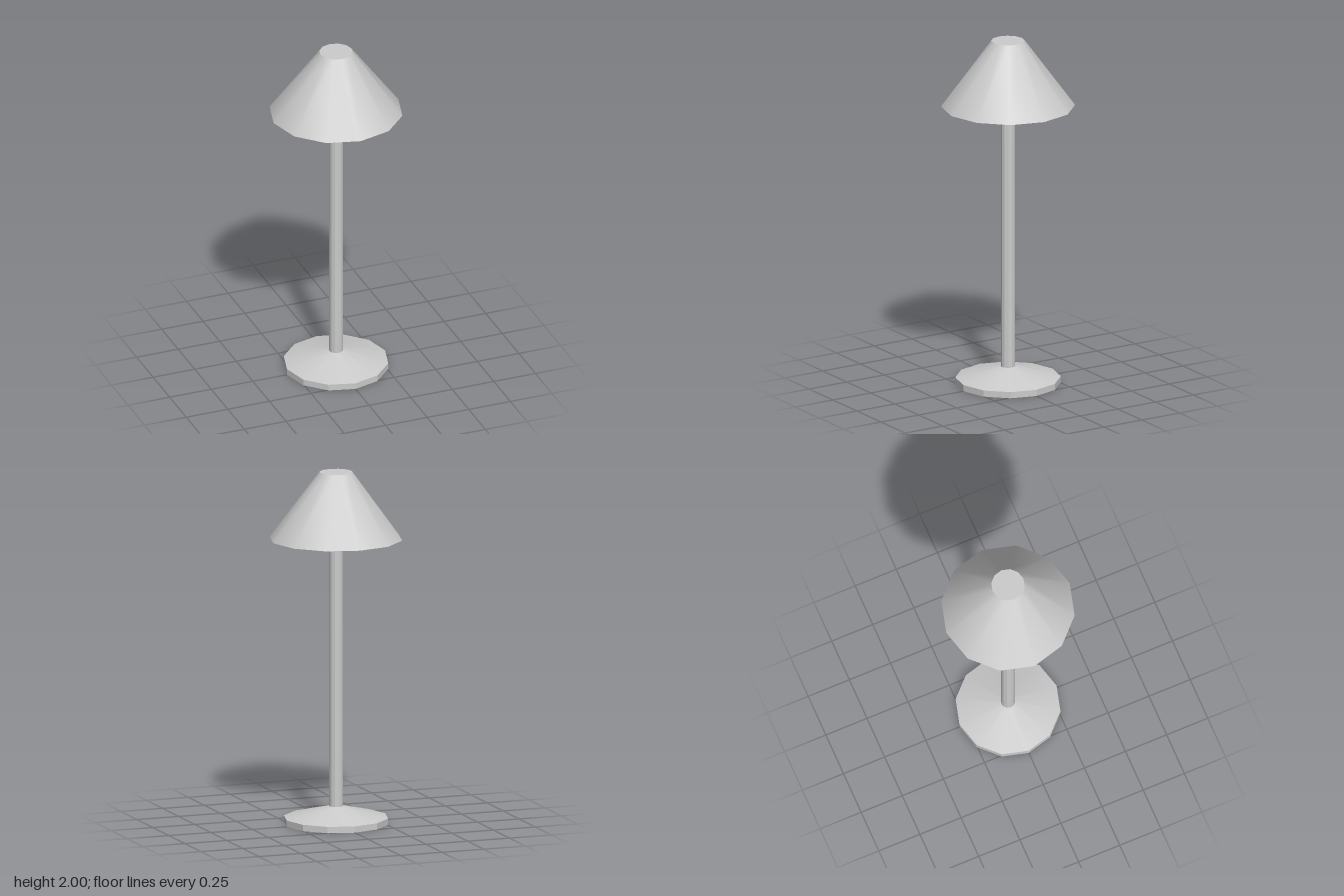
import * as THREE from 'three';

const SIDES = 12;

export function createModel() {
  const model = new THREE.Group();
  model.name = 'tableLamp';
  const smooth = new THREE.MeshStandardMaterial({ color: 0xcccccc });
  const faceted = new THREE.MeshStandardMaterial({ color: 0xcccccc, flatShading: true });

  // Twelve-sided ring section standing between two heights
  function section(name, rTop, rBottom, y0, y1, material, open = false) {
    const geometry = new THREE.CylinderGeometry(rTop, rBottom, y1 - y0, SIDES, 1, open);
    geometry.translate(0, (y0 + y1) / 2, 0);
    const mesh = new THREE.Mesh(geometry, material);
    mesh.name = name;
    model.add(mesh);
  }

  // Foot: a low faceted disc with a shallow cone rising to the pole
  section('baseRim', 0.295, 0.295, 0, 0.036, faceted);
  section('baseCone', 0.04, 0.295, 0.036, 0.1, smooth, true);

  // Pole
  section('pole', 0.04, 0.04, 0.09, 1.63, faceted);

  // Closed conical shade
  section('shade', 0.094, 0.375, 1.62, 2, smooth);

  return model;
}
